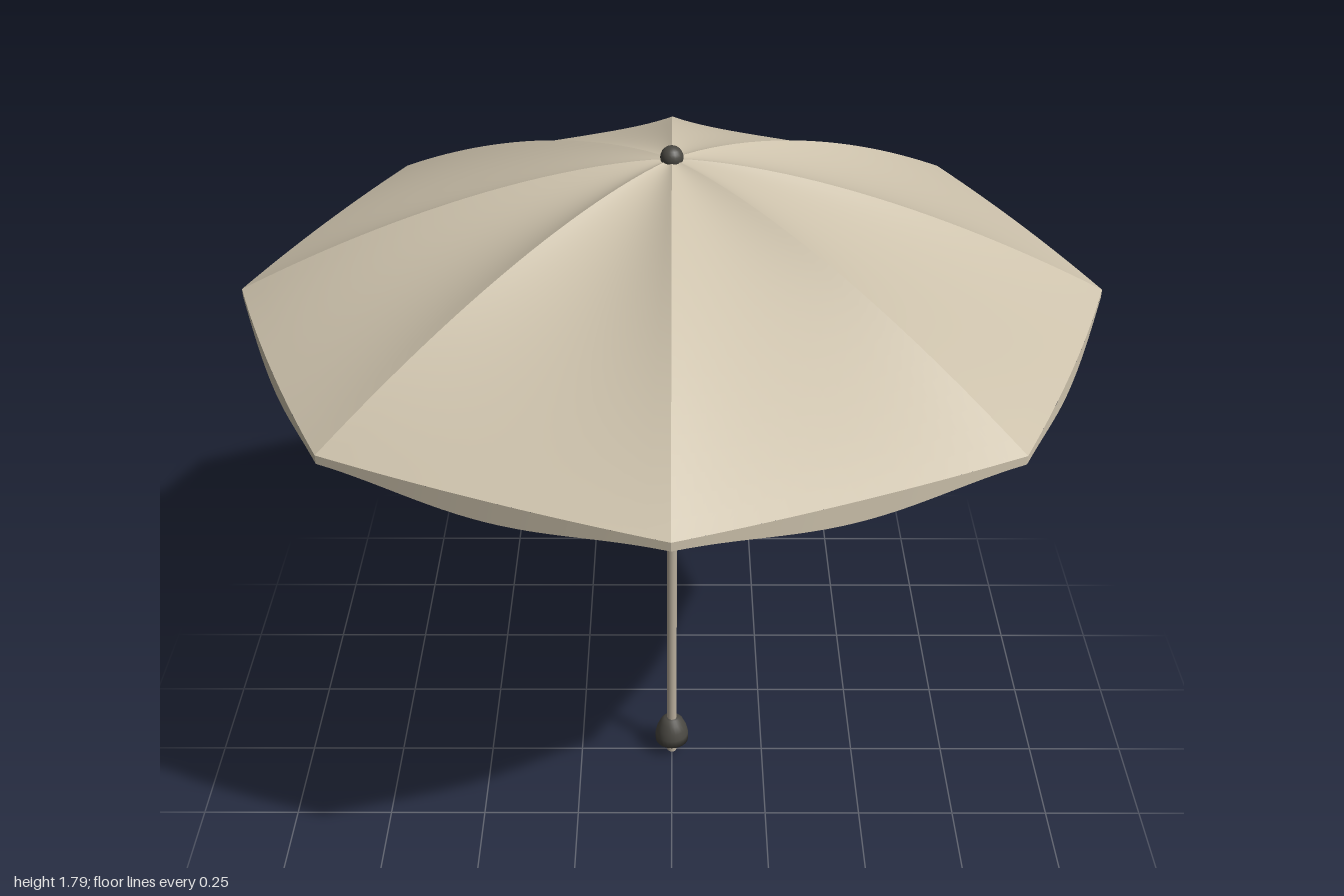
import * as THREE from 'three';

const RIBS = 8, APEX = 1.765, RIM = 1.44;
const ribY = t => APEX - (APEX - RIM) * Math.pow(t, 1.6);

// Smooth surface patch from a rule f(u, v) -> [x, y, z]
function patch(f, nu, nv) {
  const pos = [], idx = [];
  for (let j = 0; j <= nv; j++)
    for (let i = 0; i <= nu; i++) pos.push(...f(i / nu, j / nv));
  for (let j = 0; j < nv; j++)
    for (let i = 0; i < nu; i++) {
      const a = j * (nu + 1) + i, b = a + 1, c = a + nu + 1, d = c + 1;
      idx.push(a, c, b, b, c, d);
    }
  const g = new THREE.BufferGeometry();
  g.setAttribute('position', new THREE.Float32BufferAttribute(pos, 3));
  g.setIndex(idx);
  g.computeVertexNormals();
  return g;
}

// One cloth gore between two ribs: slightly slack in the middle, level at the rim
const half = Math.PI / RIBS;
function gore(s, t) {
  const w = 2 * s - 1, belly = 1 - w * w;
  const x = t * (Math.cos(half) + 0.012 * belly * t);
  const z = -t * Math.sin(half) * w;
  return [x, ribY(t) - 0.03 * belly * Math.sin(Math.PI * t), z];
}
// Hanging scalloped edge of a gore
function valance(s, v) {
  const [x, y, z] = gore(s, 1);
  const belly = Math.sin(Math.PI * s) ** 2;
  return [x, y - v * (0.02 + 0.03 * belly), z];
}

export function createModel() {
  const cloth = new THREE.MeshStandardMaterial({ color: 0xcdc2ac, side: THREE.DoubleSide });
  cloth.name = 'beige cloth';
  const metal = new THREE.MeshStandardMaterial({ color: 0xb9ae9c });
  metal.name = 'pale metal';
  const dark = new THREE.MeshStandardMaterial({ color: 0x4a4842 });
  dark.name = 'dark plastic';

  const model = new THREE.Group();
  model.name = 'parasol';
  const add = (parent, name, geo, mat, y = 0) => {
    const m = new THREE.Mesh(geo, mat);
    m.name = name;
    m.position.y = y;
    parent.add(m);
    return m;
  };
  const lathe = pts => new THREE.LatheGeometry(pts.map(p => new THREE.Vector2(...p)), 24);

  // Pole and its fittings
  add(model, 'pole', new THREE.CylinderGeometry(0.013, 0.013, 1.75, 16), metal, 0.875);
  add(model, 'groundCap', lathe([[0, 0.042], [0.045, 0.042], [0.045, 0.065], [0.04, 0.085],
    [0.031, 0.105], [0.02, 0.117], [0, 0.12]]), dark);
  add(model, 'runner', new THREE.CylinderGeometry(0.019, 0.019, 0.045, 16), dark, 1.192);
  add(model, 'runnerCollar', new THREE.CylinderGeometry(0.024, 0.024, 0.024, 16), dark, 1.222);
  add(model, 'crown', new THREE.CylinderGeometry(0.024, 0.024, 0.03, 16), dark, 1.73);
  add(model, 'finial', new THREE.SphereGeometry(0.026, 20, 12), dark, 1.769);

  // Shared parts for each of the eight sectors
  const goreGeo = patch(gore, 16, 24);
  const valanceGeo = patch(valance, 24, 2);
  const ribPath = new THREE.CatmullRomCurve3([0.02, 0.2, 0.4, 0.6, 0.8, 0.985]
    .map(t => new THREE.Vector3(t, ribY(t) - 0.011, 0)));
  const ribGeo = new THREE.TubeGeometry(ribPath, 20, 0.007, 6);
  const strutPath = new THREE.LineCurve3(
    new THREE.Vector3(0.018, 1.215, 0), new THREE.Vector3(0.55, ribY(0.55) - 0.014, 0));
  const strutGeo = new THREE.TubeGeometry(strutPath, 1, 0.006, 6);

  for (let i = 0; i < RIBS; i++) {
    const sector = new THREE.Group();
    sector.name = 'sector' + (i + 1);
    sector.rotation.y = i * 2 * half;
    add(sector, 'rib', ribGeo, metal);
    add(sector, 'strut', strutGeo, metal);
    const panel = new THREE.Group();
    panel.name = 'canopyPanel';
    panel.rotation.y = half;
    add(panel, 'gore', goreGeo, cloth);
    add(panel, 'valance', valanceGeo, cloth);
    sector.add(panel);
    model.add(sector);
  }
  return model;
}
